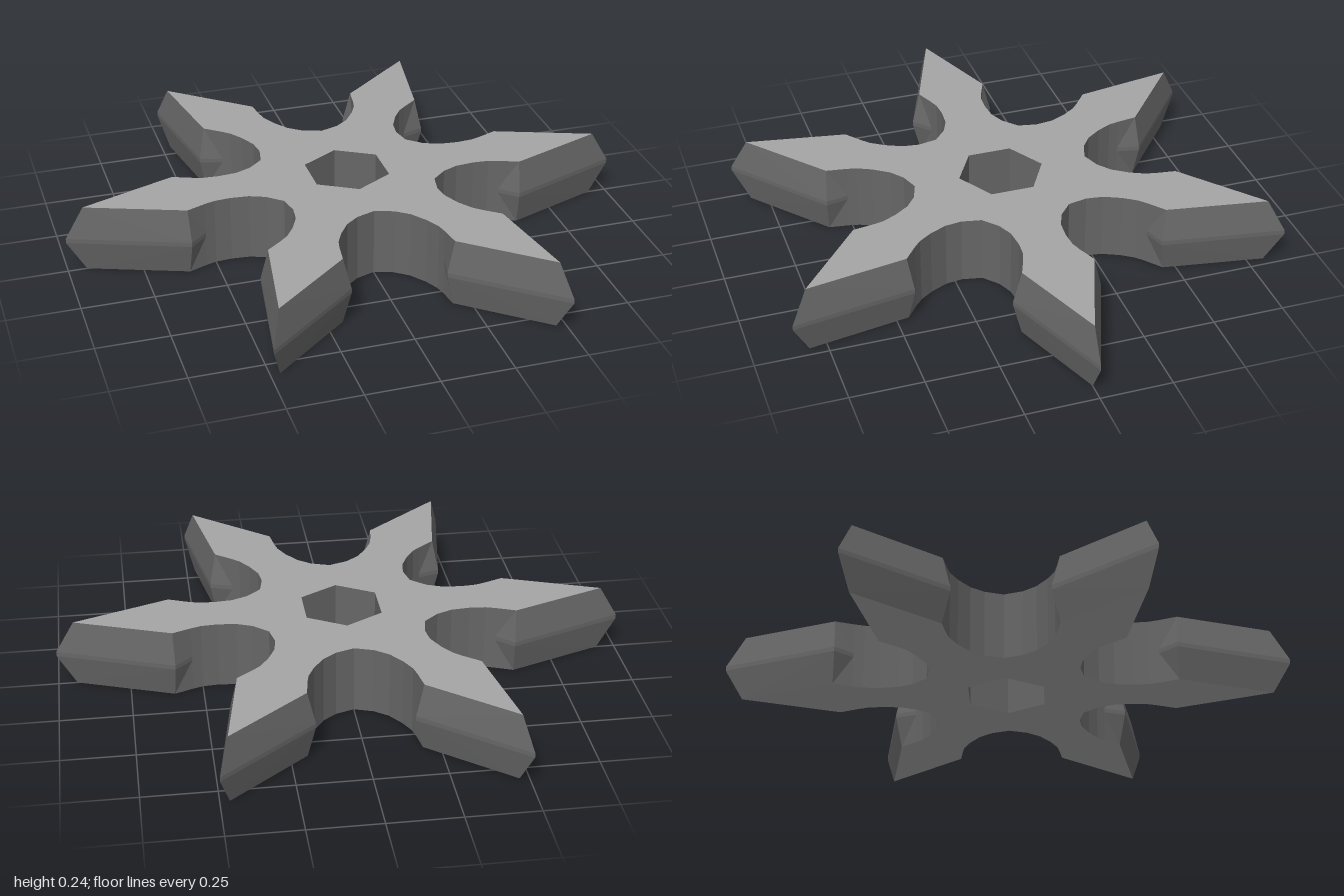
import * as THREE from 'three';

const HEIGHT = 0.24;
const ARMS = 6;

// Half of the notch between two arms: [sideways, outward], from its middle to its end
const NOTCH = [[0, 0.313], [0.065, 0.335], [0.112, 0.371], [0.15, 0.425], [0.174, 0.475], [0.182, 0.512]];

// Closed star outline, counter-clockwise, from one notch and one tip per arm
function starOutline(shoulder, tip) {
  const half = [...NOTCH, shoulder];
  const notch = [...half.slice(1).reverse().map(([v, u]) => [-v, u]), ...half];
  const points = [];
  for (let i = 0; i < ARMS; i++) {
    const a = (i + 0.5) * Math.PI * 2 / ARMS;
    const c = Math.cos(a), s = Math.sin(a);
    for (const [v, u] of notch) points.push(new THREE.Vector2(u * c - v * s, u * s + v * c));
    const t = a + Math.PI / ARMS;
    points.push(new THREE.Vector2(tip * Math.cos(t), tip * Math.sin(t)));
  }
  return points;
}

// Wall through a stack of outlines, each given as { points, y }
function wall(rings) {
  const pos = [];
  const corner = (ring, i) => new THREE.Vector3(ring.points[i].x, ring.y, -ring.points[i].y);
  for (let r = 0; r < rings.length - 1; r++) {
    const n = rings[r].points.length;
    for (let i = 0; i < n; i++) {
      const j = (i + 1) % n;
      const a = corner(rings[r], i), b = corner(rings[r], j);
      const c = corner(rings[r + 1], j), d = corner(rings[r + 1], i);
      // Split along the shorter diagonal so the bevel runs out evenly on both sides
      const split = a.distanceTo(c) < b.distanceTo(d) ? [a, b, c, a, c, d] : [a, b, d, b, c, d];
      for (const p of split) pos.push(p.x, p.y, p.z);
    }
  }
  const g = new THREE.BufferGeometry();
  g.setAttribute('position', new THREE.Float32BufferAttribute(pos, 3));
  g.computeVertexNormals();
  return g;
}

export function createModel() {
  const group = new THREE.Group();
  group.name = 'throwingStar';
  const faceMaterial = new THREE.MeshStandardMaterial({ color: 0xa5a5a5, flatShading: true });
  const edgeMaterial = new THREE.MeshStandardMaterial({ color: 0x666666, flatShading: true });
  const add = (name, geometry, material) => {
    const mesh = new THREE.Mesh(geometry, material);
    mesh.name = name;
    group.add(mesh);
  };

  const edge = starOutline([0.165, 0.592], 1);
  const face = starOutline([0.192, 0.582], 0.935);
  const hole = Array.from({ length: 6 }, (_, i) => {
    const a = Math.PI / 2 + i * Math.PI / 3;
    return new THREE.Vector2(0.152 * Math.cos(a), 0.152 * Math.sin(a));
  });

  // Dark bevelled blades and notch walls
  add('bladeEdges', wall([
    { points: face, y: 0 },
    { points: edge, y: 0.112 },
    { points: edge, y: 0.128 },
    { points: face, y: HEIGHT },
  ]), edgeMaterial);

  // Hexagonal centre hole, facing inwards
  const inward = [...hole].reverse();
  add('centreHole', wall([{ points: inward, y: 0 }, { points: inward, y: HEIGHT }]), edgeMaterial);

  // Lighter flat faces
  const shape = new THREE.Shape(face);
  shape.holes.push(new THREE.Path(hole));
  const flat = new THREE.ShapeGeometry(shape);
  add('topFace', flat.clone().rotateX(-Math.PI / 2).translate(0, HEIGHT, 0), faceMaterial);
  add('bottomFace', flat.clone().rotateX(Math.PI / 2), faceMaterial);

  return group;
}
